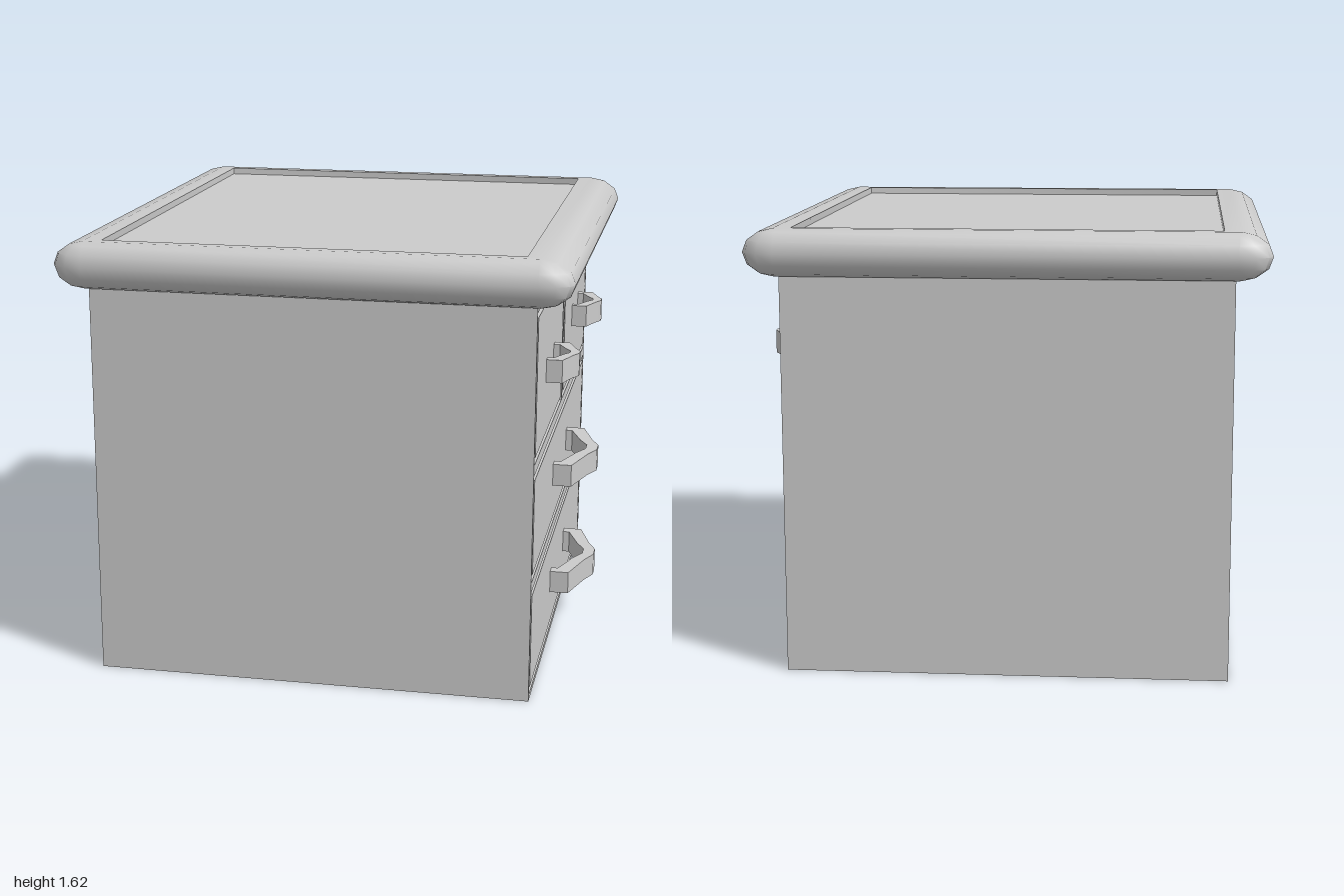
import * as THREE from 'three';
import { toCreasedNormals } from 'three/addons/utils/BufferGeometryUtils.js';

const material = new THREE.MeshStandardMaterial({ color: 0xcccccc });
const FRONT_X = 0.8025; // plane of the drawer side
const DEPTH = 0.918; // half depth of the cabinet
const HEIGHT = 1.47;

function add(parent, name, geometry, x = 0, y = 0, z = 0) {
  const mesh = new THREE.Mesh(geometry, material);
  mesh.name = name;
  mesh.position.set(x, y, z);
  parent.add(mesh);
  return mesh;
}

// Rounded rectangle loop: corner centres (cx, cz) and corner radii (rx, rz) at height y
function loop([cx, cz, rx, rz, y], steps = 3) {
  const points = [];
  const signs = [[1, 1], [-1, 1], [-1, -1], [1, -1]];
  signs.forEach(([sx, sz], k) => {
    for (let j = 0; j <= steps; j++) {
      const a = (k + j / steps) * Math.PI / 2;
      points.push([sx * cx + rx * Math.cos(a), y, sz * cz + rz * Math.sin(a)]);
    }
  });
  return points;
}

// Skin stacked loops, closing the first and last with fans
function skin(loops) {
  const pos = [];
  const tri = (...corners) => corners.forEach((p) => pos.push(...p));
  const first = loops[0], last = loops[loops.length - 1], n = first.length;
  for (let j = 0; j < n; j++) {
    const k = (j + 1) % n;
    tri([0, first[0][1], 0], first[j], first[k]);
    for (let i = 0; i < loops.length - 1; i++) {
      const a = loops[i][j], b = loops[i][k], c = loops[i + 1][k], d = loops[i + 1][j];
      tri(a, d, c);
      tri(a, c, b);
    }
    tri([0, last[0][1], 0], last[k], last[j]);
  }
  const geometry = new THREE.BufferGeometry();
  geometry.setAttribute('position', new THREE.Float32BufferAttribute(pos, 3));
  return toCreasedNormals(geometry, Math.PI / 4);
}

// Bullnosed top with a shallow sunken panel
function topGeometry() {
  const rings = [];
  for (let i = -3; i <= 3; i++) {
    const a = i * Math.PI / 6;
    const c = Math.max(Math.cos(a), 0.08);
    rings.push([0.81, 0.92, 0.12 * c, 0.07 * c, 1.535 + 0.085 * Math.sin(a)]);
  }
  rings.push([0.758, 0.884, 0.002, 0.002, 1.62], [0.758, 0.884, 0.002, 0.002, 1.595]);
  return skin(rings.map((r) => loop(r)));
}

// Bowed bar pull: outline in plan (z, outward x), extruded upward
function handleGeometry(half, legOut, peak, thick) {
  const bow = [1, 0.4, 0.12, -0.12, -0.4, -1];
  const rise = [0, 0.6, 1, 1, 0.6, 0];
  const out = (i) => legOut + (peak - legOut) * rise[i];
  const outer = bow.map((b, i) => new THREE.Vector2(b * half, out(i)));
  const innerHalf = half - thick;
  const inner = bow.map((b, i) => new THREE.Vector2(b * innerHalf, out(i) - thick)).reverse();
  const shape = new THREE.Shape([
    new THREE.Vector2(half, -0.01), ...outer, new THREE.Vector2(-half, -0.01),
    new THREE.Vector2(-innerHalf, -0.01), ...inner, new THREE.Vector2(innerHalf, -0.01),
  ]);
  const geometry = new THREE.ExtrudeGeometry(shape, { depth: 0.085, bevelEnabled: false });
  geometry.translate(0, 0, -0.0425);
  geometry.applyMatrix4(new THREE.Matrix4().makeBasis(
    new THREE.Vector3(0, 0, 1), new THREE.Vector3(1, 0, 0), new THREE.Vector3(0, 1, 0)));
  return toCreasedNormals(geometry, Math.PI / 5);
}

export function createModel() {
  const model = new THREE.Group();
  const cabinet = new THREE.Group();
  cabinet.name = 'cabinet';
  cabinet.position.x = -0.01;
  cabinet.rotation.y = 0.0125;
  model.add(cabinet);

  // Carcass stops short of the drawer side to leave room for the grooves
  const groove = 0.025;
  const width = 2 * FRONT_X - groove;
  add(cabinet, 'carcass', new THREE.BoxGeometry(width, HEIGHT, 2 * DEPTH), -groove / 2, HEIGHT / 2);
  add(cabinet, 'top', topGeometry());

  // Drawer openings: z range, y range, handle height and handle kind
  const drawers = [
    { name: 'upperDrawerFront', z: [0.015, 0.905], y: [0.885, 1.43], pull: 1.148, small: true },
    { name: 'upperDrawerBack', z: [-0.905, -0.015], y: [0.885, 1.43], pull: 1.148, small: true },
    { name: 'middleDrawer', z: [-0.905, 0.905], y: [0.45, 0.845], pull: 0.653 },
    { name: 'lowerDrawer', z: [-0.905, 0.905], y: [0.02, 0.412], pull: 0.218 },
  ];

  // Face frame with one hole for each drawer
  const frame = new THREE.Shape([
    new THREE.Vector2(-DEPTH, 0), new THREE.Vector2(DEPTH, 0),
    new THREE.Vector2(DEPTH, HEIGHT), new THREE.Vector2(-DEPTH, HEIGHT),
  ]);
  for (const { z, y } of drawers) {
    frame.holes.push(new THREE.Path([
      new THREE.Vector2(-z[1], y[0]), new THREE.Vector2(-z[1], y[1]),
      new THREE.Vector2(-z[0], y[1]), new THREE.Vector2(-z[0], y[0]),
    ]));
  }
  const frameGeometry = new THREE.ExtrudeGeometry(frame, { depth: groove, bevelEnabled: false });
  add(cabinet, 'faceFrame', frameGeometry, FRONT_X - groove).rotation.y = Math.PI / 2;

  // Drawer panels set inside a narrow groove, each with a pull
  const smallHandle = handleGeometry(0.138, 0.058, 0.107, 0.035);
  const largeHandle = handleGeometry(0.263, 0.07, 0.147, 0.045);
  const gap = 0.022;
  for (const { name, z, y, pull, small } of drawers) {
    const midZ = (z[0] + z[1]) / 2;
    const panel = new THREE.BoxGeometry(groove, y[1] - y[0] - 2 * gap, z[1] - z[0] - 2 * gap);
    add(cabinet, name, panel, FRONT_X - groove / 2, (y[0] + y[1]) / 2, midZ);
    add(cabinet, name + 'Handle', small ? smallHandle : largeHandle, FRONT_X, pull, midZ);
  }
  return model;
}
